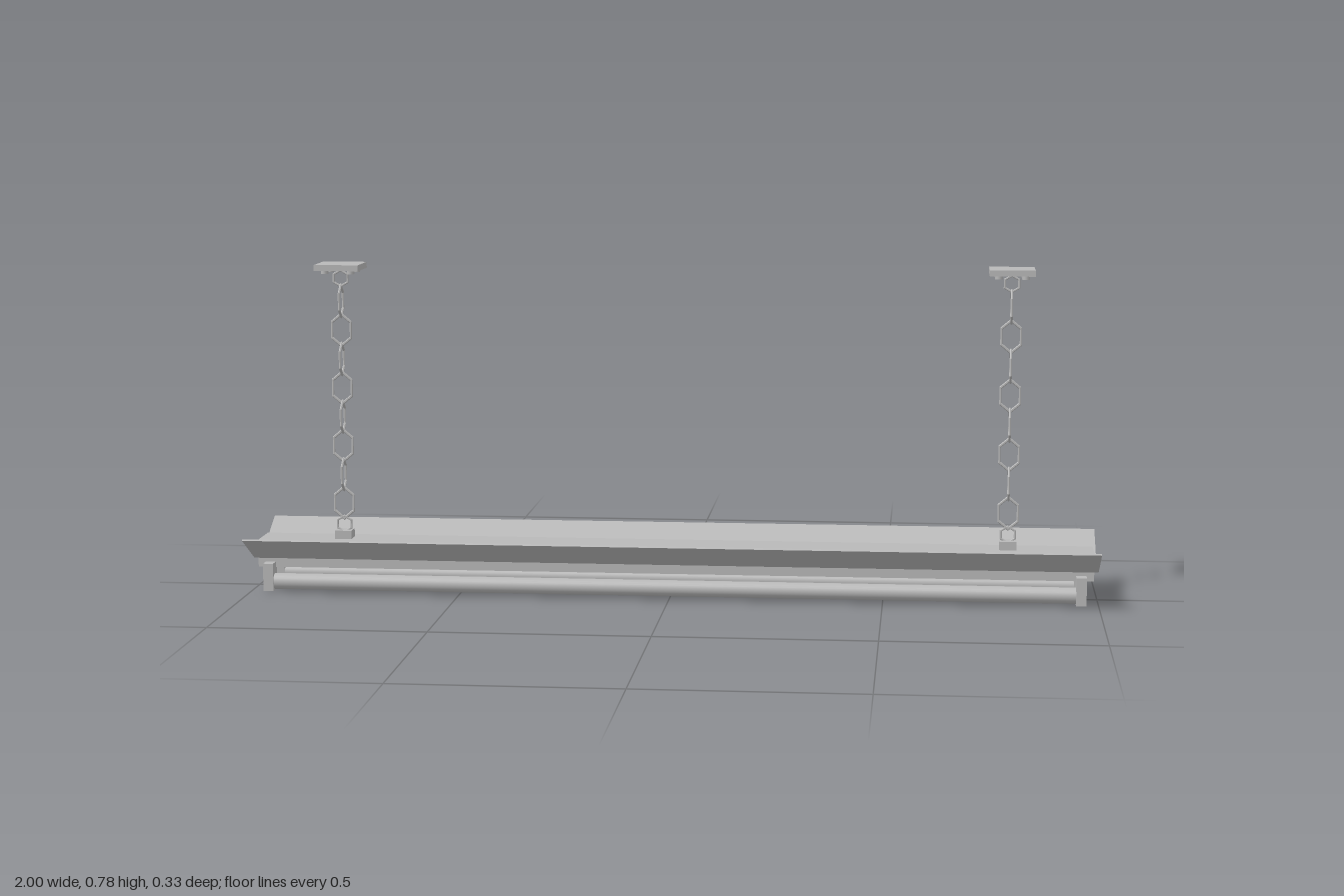
import * as THREE from 'three';

const metal = new THREE.MeshStandardMaterial({ color: 0xb8b8b8 });
metal.name = 'paintedGrey';

function add(parent, name, geometry, x, y, z) {
  const mesh = new THREE.Mesh(geometry, metal);
  mesh.name = name;
  mesh.position.set(x, y, z);
  parent.add(mesh);
  return mesh;
}

// Elongated hexagonal wire loop in the XY plane, apex up
function linkGeometry(radius, stretch) {
  const g = new THREE.TorusGeometry(radius, 0.003, 6, 6);
  g.rotateZ(Math.PI / 6);
  g.scale(1, stretch, 1);
  const flat = g.toNonIndexed();
  flat.computeVertexNormals();
  return flat;
}

// Reflector wing, tube and tube holders of one side
function createLampSide(name) {
  const side = new THREE.Group();
  side.name = name;
  const rise = 0.062, run = 0.117;
  const wing = add(side, 'reflectorWing',
    new THREE.BoxGeometry(2, 0.004, Math.hypot(rise, run)), 0, 0.109, 0.1065);
  wing.rotation.x = -Math.atan2(rise, run);

  const tube = add(side, 'lightTube',
    new THREE.CylinderGeometry(0.019, 0.019, 1.9, 24), 0, 0.023, 0.06);
  tube.rotation.z = Math.PI / 2;

  for (const s of [-1, 1]) {
    add(side, 'tubeHolder', new THREE.BoxGeometry(0.024, 0.066, 0.041), s * 0.96, 0.035, 0.06);
  }
  return side;
}

// Ceiling plate, chain and bracket
function createHanger(name) {
  const hanger = new THREE.Group();
  hanger.name = name;
  add(hanger, 'bracket', new THREE.BoxGeometry(0.04, 0.02, 0.04), 0, 0.13, 0);
  add(hanger, 'ceilingPlate', new THREE.BoxGeometry(0.105, 0.014, 0.105), 0, 0.772, 0);
  for (const x of [-0.031, 0.031]) {
    for (const z of [-0.031, 0.031]) {
      add(hanger, 'plateScrew', new THREE.CylinderGeometry(0.009, 0.009, 0.009, 12), x, 0.761, z);
    }
  }

  // Links alternate by a quarter turn
  const link = linkGeometry(0.026, 1.45);
  for (let i = 0; i < 8; i++) {
    const mesh = add(hanger, 'chainLink', link, 0, 0.205 + i * 0.0693, 0);
    if (i % 2) mesh.rotation.y = Math.PI / 2;
  }
  const ring = linkGeometry(0.019, 1);
  add(hanger, 'lowerRing', ring, 0, 0.154, 0);
  add(hanger, 'upperRing', ring, 0, 0.744, 0);
  return hanger;
}

export function createModel() {
  const model = new THREE.Group();
  model.name = 'hangingTubeLight';

  // Main housing
  add(model, 'housing', new THREE.BoxGeometry(1.98, 0.065, 0.098), 0, 0.0875, 0);

  const front = createLampSide('frontSide');
  const back = createLampSide('backSide');
  back.rotation.y = Math.PI;
  model.add(front, back);

  for (const [name, x] of [['leftHanger', 0.79], ['rightHanger', -0.79]]) {
    const hanger = createHanger(name);
    hanger.position.x = x;
    model.add(hanger);
  }
  return model;
}
